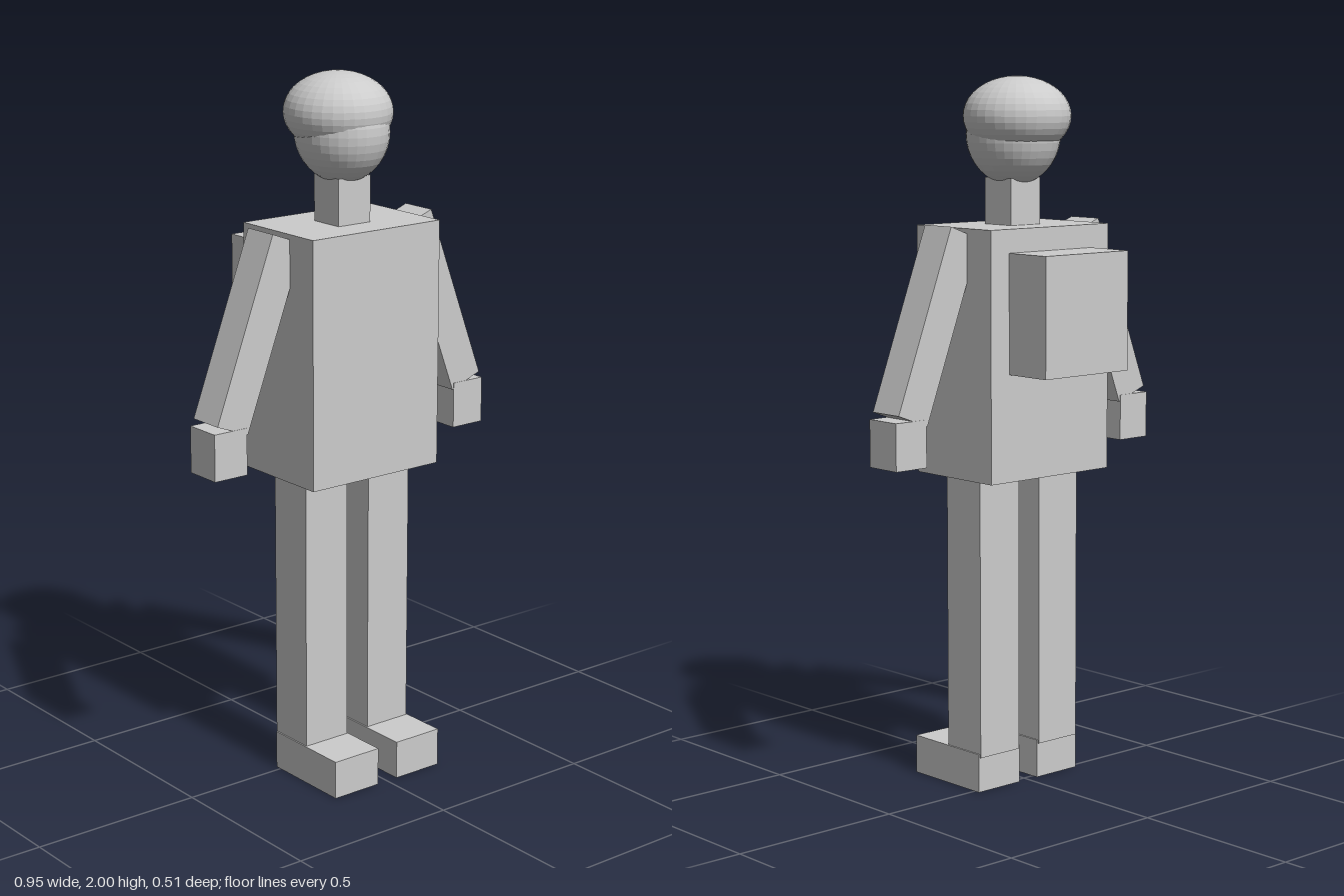
import * as THREE from 'three';

const material = new THREE.MeshStandardMaterial({ color: 0xcccccc, flatShading: true });

// Box given by its limits on each axis
function block(name, [x0, x1], [y0, y1], [z0, z1]) {
  const mesh = new THREE.Mesh(new THREE.BoxGeometry(x1 - x0, y1 - y0, z1 - z0), material);
  mesh.name = name;
  mesh.position.set((x0 + x1) / 2, (y0 + y1) / 2, (z0 + z1) / 2);
  return mesh;
}

// Ellipsoid given by its centre and radii
function ellipsoid(name, centre, radii) {
  const geometry = new THREE.SphereGeometry(1, 32, 20).scale(...radii);
  const mesh = new THREE.Mesh(geometry, material);
  mesh.name = name;
  mesh.position.set(...centre);
  return mesh;
}

export function createModel() {
  const model = new THREE.Group();
  model.name = 'figure';

  // Body
  model.add(
    block('torso', [-0.22, 0.22], [0.895, 1.59], [-0.11, 0.199]),
    block('backpack', [-0.154, 0.154], [1.193, 1.525], [-0.256, -0.11]),
    block('neck', [-0.055, 0.055], [1.58, 1.72], [-0.007, 0.1])
  );

  // Head and cap
  model.add(
    ellipsoid('head', [0, 1.839, 0.044], [0.126, 0.141, 0.139]),
    ellipsoid('cap', [0, 1.89, 0.028], [0.148, 0.11, 0.154])
  );

  // Limbs, mirrored left and right
  for (const [side, s] of [['left', 1], ['right', -1]]) {
    const span = (a, b) => (s > 0 ? [a, b] : [-b, -a]);

    const arm = block(side + 'Arm', [-0.0535, 0.0535], [-0.2665, 0.2665], [-0.012, 0.098]);
    arm.position.x = s * 0.32;
    arm.position.y = 1.329;
    arm.rotation.z = s * 0.361;

    model.add(
      arm,
      block(side + 'Hand', span(0.368, 0.475), [0.948, 1.08], [-0.013, 0.099]),
      block(side + 'Leg', span(0.038, 0.184), [0.1, 0.9], [-0.022, 0.118]),
      block(side + 'Foot', span(0.034, 0.188), [0, 0.11], [-0.018, 0.256])
    );
  }
  return model;
}
